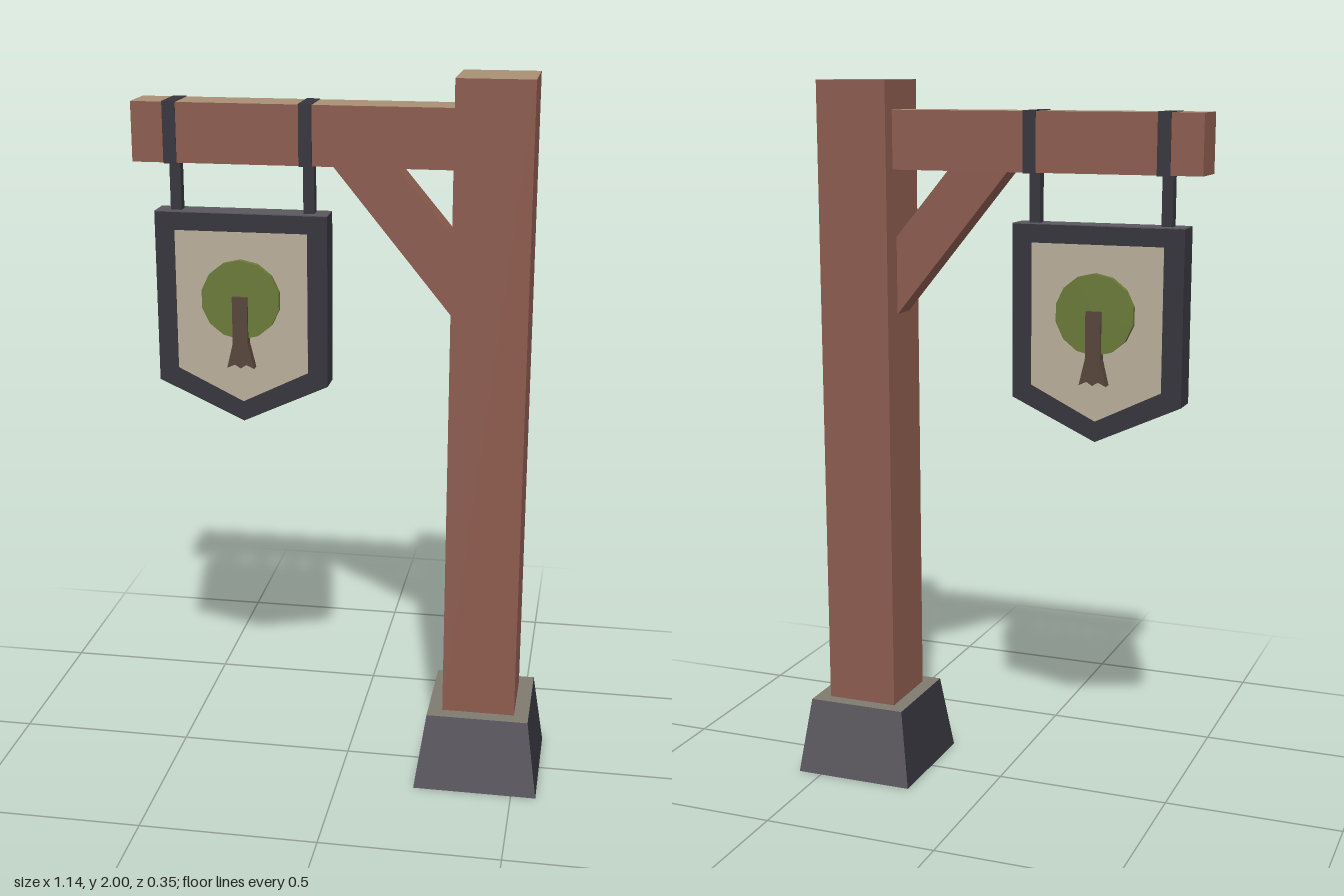
import * as THREE from 'three';

const mat = (name, color) => new THREE.MeshStandardMaterial({ name, color, flatShading: true });

export function createModel() {
  const wood = mat('redBrownWood', 0x8d5c4f);
  const cutWood = mat('paleWood', 0xa89073);
  const iron = mat('darkIron', 0x36353d);
  const stone = mat('greyStone', 0x5a575e);
  const stoneTop = mat('paleStone', 0x7f7a70);
  const cream = mat('creamPanel', 0xbaae9b);
  const leaf = mat('leafGreen', 0x6b7a38);
  const bark = mat('bark', 0x58463b);

  const group = new THREE.Group();
  group.name = 'hangingSign';
  const add = (name, geometry, material, x = 0, y = 0, z = 0) => {
    const mesh = new THREE.Mesh(geometry, material);
    mesh.name = name;
    mesh.position.set(x, y, z);
    group.add(mesh);
    return mesh;
  };
  // box from min and max corners
  const block = (name, a, b, material) => add(name,
    new THREE.BoxGeometry(b[0] - a[0], b[1] - a[1], b[2] - a[2]), material,
    (a[0] + b[0]) / 2, (a[1] + b[1]) / 2, (a[2] + b[2]) / 2);
  // outline in x and y, extruded evenly about a given z
  const slab = (name, points, depth, material, z = 0) => {
    const shape = new THREE.Shape(points.map(([x, y]) => new THREE.Vector2(x, y)));
    const geometry = new THREE.ExtrudeGeometry(shape, { depth, bevelEnabled: false });
    return add(name, geometry.translate(0, 0, -depth / 2), material, 0, 0, z);
  };

  // tapered foot: faces are +x, -x, top, bottom, front, back
  const foot = new THREE.BoxGeometry(0.35, 0.22, 0.35);
  const p = foot.attributes.position;
  for (let i = 0; i < p.count; i++) {
    if (p.getY(i) > 0) p.setXYZ(i, p.getX(i) * 0.82, p.getY(i), p.getZ(i) * 0.82);
  }
  foot.computeVertexNormals();
  add('foot', foot, [iron, iron, stoneTop, iron, stone, stone], 0.395, 0.11, 0);

  // post, beam and brace
  const timber = [wood, wood, cutWood, wood, wood, wood];
  block('post', [0.292, 0.22, -0.104], [0.497, 2, 0.104], timber);
  block('beam', [-0.575, 1.76, -0.06], [0.292, 1.92, 0.06], timber);
  slab('brace', [[-0.035, 1.76], [0.292, 1.36], [0.292, 1.575], [0.137, 1.76]], 0.08, wood);

  // straps around the beam with hanger bars below
  for (const x of [-0.471, -0.104]) {
    block('strap', [x - 0.018, 1.758, -0.062], [x + 0.018, 1.922, 0.062], iron);
    block('hanger', [x - 0.015, 1.62, -0.015], [x + 0.015, 1.76, 0.015], iron);
  }

  // shield-shaped board with a lighter top edge
  const cx = -0.288;
  const shield = (w, top, corner, tip) =>
    [[cx - w, top], [cx - w, corner], [cx, tip], [cx + w, corner], [cx + w, top]];
  slab('signFrame', shield(0.238, 1.623, 1.15, 1.04), 0.078, iron);
  block('signFrameTop', [cx - 0.238, 1.622, -0.039], [cx + 0.238, 1.625, 0.039], stone);

  // panel and tree emblem on both faces
  const trunk = [[-0.021, 1.4], [-0.021, 1.27], [-0.038, 1.2], [-0.016, 1.21],
    [0, 1.2], [0.016, 1.21], [0.038, 1.2], [0.021, 1.27], [0.021, 1.4]]
    .map(([x, y]) => [cx + x, y]);
  for (const side of [1, -1]) {
    slab('signPanel', shield(0.183, 1.574, 1.187, 1.097), 0.003, cream, side * 0.039);
    const crown = new THREE.CylinderGeometry(0.11, 0.11, 0.024, 14).rotateX(Math.PI / 2);
    add('treeCrown', crown, leaf, cx, 1.39, side * 0.046);
    slab('treeTrunk', trunk, 0.03, bark, side * 0.053);
  }
  return group;
}
